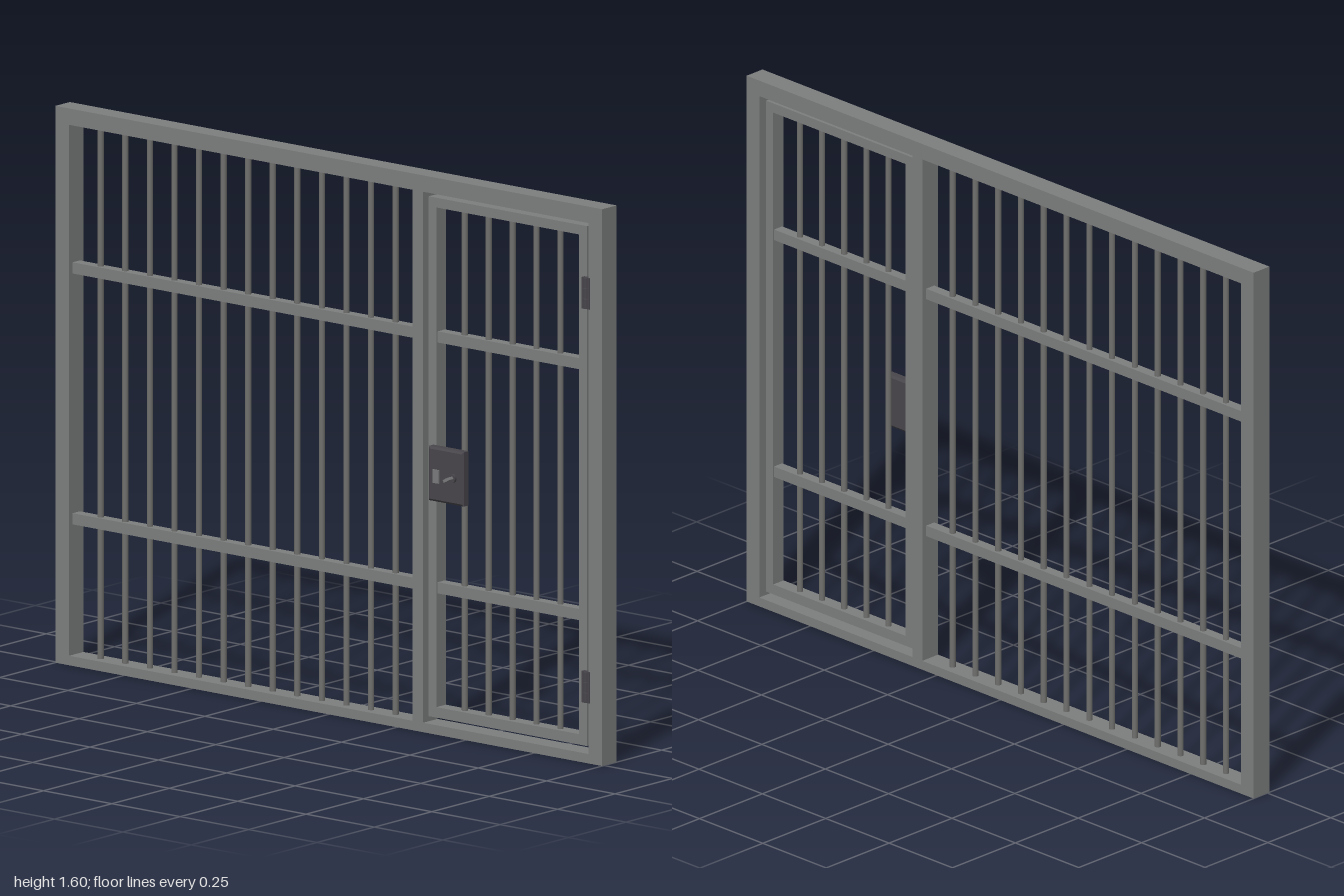
import * as THREE from 'three';

const steel = new THREE.MeshStandardMaterial({ color: 0x7c7e7e, name: 'steel grey' });
const barSteel = new THREE.MeshStandardMaterial({ color: 0x70716e, name: 'bar grey' });
const dark = new THREE.MeshStandardMaterial({ color: 0x48464b, name: 'lock dark grey' });
const bright = new THREE.MeshStandardMaterial({ color: 0x7a7a7c, name: 'key grey' });

// Box given by its minimum and maximum on each axis
function box(parent, name, mat, x0, x1, y0, y1, z0, z1) {
  const m = new THREE.Mesh(new THREE.BoxGeometry(x1 - x0, y1 - y0, z1 - z0), mat);
  m.name = name;
  m.position.set((x0 + x1) / 2, (y0 + y1) / 2, (z0 + z1) / 2);
  parent.add(m);
  return m;
}

function rod(parent, name, mat, r, length, x, y, z, sides = 12) {
  const m = new THREE.Mesh(new THREE.CylinderGeometry(r, r, length, sides), mat);
  m.name = name;
  m.position.set(x, y, z);
  parent.add(m);
  return m;
}

// Rectangular frame extruded from an outline with a hole
function frame(parent, name, [x0, x1, y0, y1], [a0, a1, b0, b1], z0, z1) {
  const s = new THREE.Shape().moveTo(x0, y0).lineTo(x1, y0).lineTo(x1, y1).lineTo(x0, y1).closePath();
  s.holes.push(new THREE.Path().moveTo(a0, b0).lineTo(a0, b1).lineTo(a1, b1).lineTo(a1, b0).closePath());
  const m = new THREE.Mesh(new THREE.ExtrudeGeometry(s, { depth: z1 - z0, bevelEnabled: false }), steel);
  m.name = name;
  m.position.z = z0;
  parent.add(m);
}

const BACK = -0.055, FRONT = 0.008, MID = -0.0235;

// Evenly spaced upright bars with two cross rails
function grille(parent, name, x0, x1, y0, y1, count) {
  const g = new THREE.Group();
  g.name = name;
  for (let i = 1; i <= count; i++) {
    const x = x0 + (x1 - x0) * i / (count + 1);
    rod(g, 'uprightBar', barSteel, 0.009, y1 - y0, x, (y0 + y1) / 2, MID);
  }
  for (const y of [0.418, 1.139]) box(g, 'crossRail', steel, x0, x1, y - 0.016, y + 0.016, MID - 0.016, MID + 0.016);
  parent.add(g);
}

export function createModel() {
  const model = new THREE.Group();
  model.name = 'barredWall';

  // Fixed frame, door post and bars
  frame(model, 'outerFrame', [-1, 1, 0, 1.6], [-0.95, 0.95, 0.027, 1.553], BACK, FRONT);
  box(model, 'doorPost', steel, 0.307, 0.345, 0.027, 1.553, BACK, FRONT);
  grille(model, 'fixedGrille', -0.95, 0.308, 0.027, 1.553, 13);

  // Door
  const door = new THREE.Group();
  door.name = 'door';
  model.add(door);
  frame(door, 'doorFrame', [0.357, 0.935, 0.046, 1.54], [0.385, 0.907, 0.076, 1.512], -0.043, -0.002);
  grille(door, 'doorGrille', 0.384, 0.908, 0.074, 1.514, 5);

  // Hinges: leaf plate with a knuckled barrel
  for (const y of [0.218, 1.35]) {
    const hinge = new THREE.Group();
    hinge.name = 'hinge';
    box(hinge, 'hingeLeaf', dark, 0.926, 0.956, y - 0.045, y + 0.045, -0.004, 0.01);
    for (const k of [-1, 0, 1]) rod(hinge, 'hingeKnuckle', dark, 0.008, 0.028, 0.941, y + k * 0.03, 0.008);
    door.add(hinge);
  }

  // Lock case with a chamfered front edge
  const lock = new THREE.Group();
  lock.name = 'lock';
  const w = 0.058, h = 0.072;
  const outline = new THREE.Shape().moveTo(-w, -h).lineTo(w, -h).lineTo(w, h).lineTo(-w, h).closePath();
  const lockCase = new THREE.Mesh(new THREE.ExtrudeGeometry(outline, {
    depth: 0.02, bevelEnabled: true, bevelSize: 0.006, bevelThickness: 0.005, bevelSegments: 1,
  }), dark);
  lockCase.name = 'lockCase';
  lockCase.position.set(0.438, 0.751, -0.003);
  lock.add(lockCase);
  box(lock, 'lockPlate', bright, 0.394, 0.416, 0.727, 0.766, 0.02, 0.025);

  // Key in the lock
  const collar = rod(lock, 'keyCollar', dark, 0.013, 0.008, 0.466, 0.75, 0.025);
  const shank = rod(lock, 'keyShank', bright, 0.005, 0.03, 0.466, 0.75, 0.038);
  collar.rotation.x = shank.rotation.x = Math.PI / 2;
  const grip = box(lock, 'keyGrip', bright, 0.455, 0.477, 0.746, 0.754, 0.034, 0.053);
  grip.rotation.z = 0.5;
  door.add(lock);

  return model;
}
